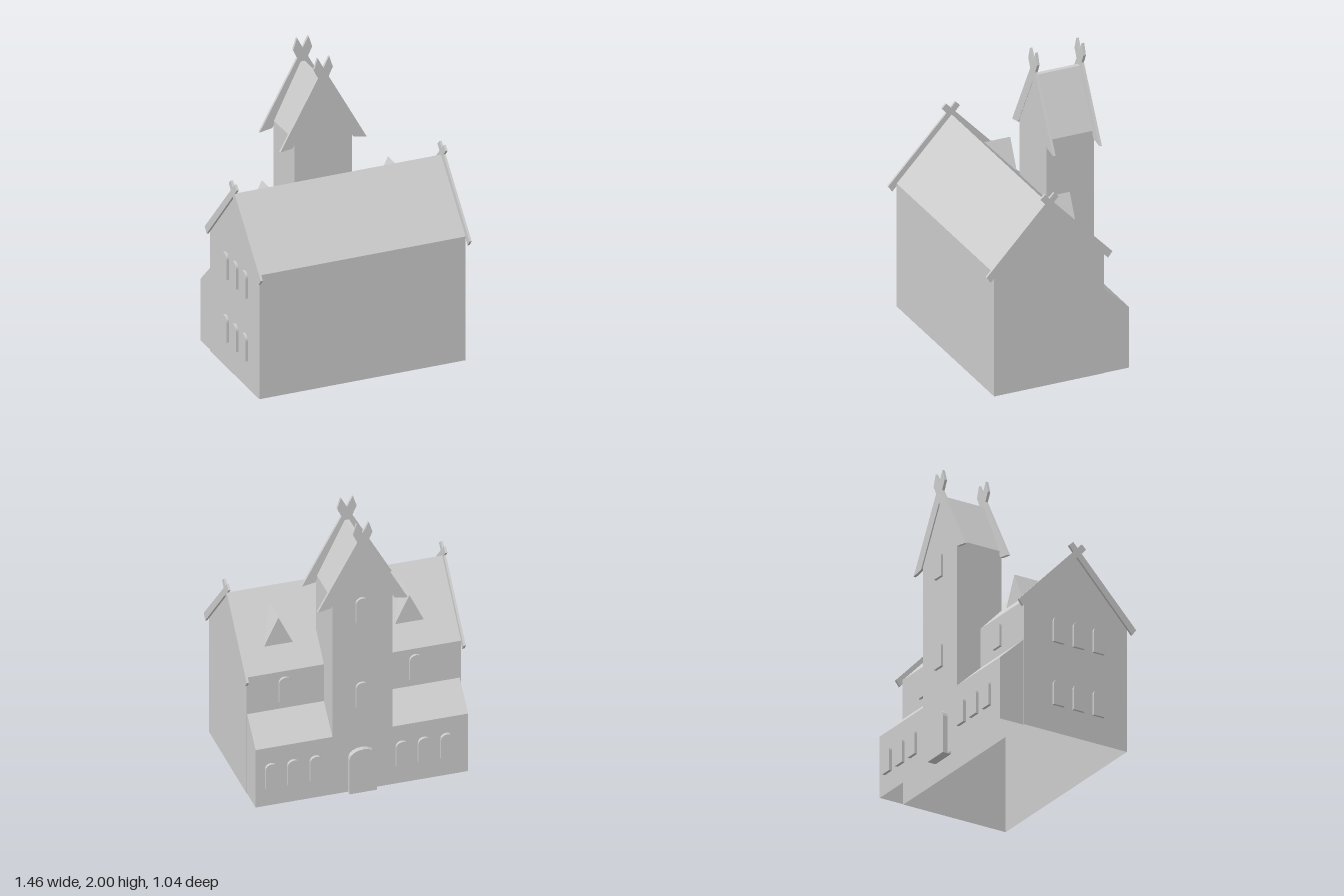
import * as THREE from 'three';

const material = new THREE.MeshStandardMaterial({ color: 0xcccccc, flatShading: true, side: THREE.DoubleSide });

function add(parent, name, geometry) {
  const mesh = new THREE.Mesh(geometry, material);
  mesh.name = name;
  parent.add(mesh);
  return mesh;
}

// Hollow prism with an open base: the convex profile runs clockwise from its
// lower left corner to its lower right corner, swept from z0 to z1.
function shell(profile, z0, z1) {
  const pos = [];
  const tri = (...corners) => corners.forEach(([p, z]) => pos.push(p[0], p[1], z));
  for (let i = 0; i < profile.length - 1; i++) {
    const a = profile[i], b = profile[i + 1];
    tri([a, z0], [a, z1], [b, z1]);
    tri([a, z0], [b, z1], [b, z0]);
    if (i > 0) {
      tri([profile[0], z1], [b, z1], [a, z1]);
      tri([profile[0], z0], [a, z0], [b, z0]);
    }
  }
  const geometry = new THREE.BufferGeometry();
  geometry.setAttribute('position', new THREE.Float32BufferAttribute(pos, 3));
  geometry.computeVertexNormals();
  return geometry;
}

// Turns a profile drawn in (z, y) so that its sweep runs along -x
const sideways = (geometry) => geometry.rotateY(-Math.PI / 2);

// Crossed gable boards from the right half of their outline
function boards(half, depth) {
  const left = half.slice(1, -1).reverse().map(([x, y]) => [-x, y]);
  const shape = new THREE.Shape([...half, ...left].map(([x, y]) => new THREE.Vector2(x, y)));
  return new THREE.ExtrudeGeometry(shape, { depth, bevelEnabled: false });
}

// Round-headed panel standing on y = 0, centred on z = 0
function arch(width, height, rise, depth) {
  const w = width / 2, spring = height - rise;
  const shape = new THREE.Shape();
  shape.moveTo(-w, 0);
  shape.lineTo(w, 0);
  shape.lineTo(w, spring);
  for (let i = 1; i <= 8; i++) {
    const t = (i / 8) * Math.PI;
    shape.lineTo(w * Math.cos(t), spring + rise * Math.sin(t));
  }
  return new THREE.ExtrudeGeometry(shape, { depth, bevelEnabled: false, curveSegments: 1 }).translate(0, 0, -depth / 2);
}

export function createModel() {
  const model = new THREE.Group();
  model.name = 'gabledHouse';

  // Main hall with its steep roof
  add(model, 'mainHall', sideways(shell(
    [[-0.315, 0], [-0.315, 0.87], [0.0725, 1.277], [0.46, 0.87], [0.46, 0]], -0.715, 0.715)));

  // Lean-to along the back
  add(model, 'backLeanTo', sideways(shell(
    [[-0.49, 0], [-0.49, 0.43], [-0.31, 0.6], [-0.31, 0]], -0.712, 0.706)));

  // Tower rising from the lean-to
  add(model, 'tower', shell(
    [[-0.2, 0.43], [-0.2, 1.45], [-0.015, 1.83], [0.015, 1.83], [0.2, 1.45], [0.2, 0.43]], -0.49, -0.156));

  // Crossed boards on the hall gables
  const hallBoards = [[0, 1.26], [0.412, 0.82], [0.442, 0.86], [0.031, 1.293],
    [0.064, 1.33], [0.032, 1.36], [0, 1.325]];
  for (const x of [0.716, -0.731]) {
    const mesh = add(model, 'hallGableBoards', sideways(boards(hallBoards, 0.015)));
    mesh.position.set(x + 0.015, 0, 0.0775);
  }

  // Crossed boards on the tower gables
  const towerBoards = [[0, 1.785], [0.212, 1.4], [0.3, 1.385], [0.036, 1.86],
    [0.065, 1.922], [0.04, 2.0], [0, 1.925]];
  for (const z of [-0.172, -0.498]) {
    add(model, 'towerGableBoards', boards(towerBoards, 0.018)).position.z = z;
  }

  // Pointed dormers on the back roof slope
  for (const x of [-0.41, 0.464]) {
    const top = [0, 1.198, -0.193], tip = [0, 1.198, -0.01];
    const l = [-0.096, 0.998, -0.193], r = [0.096, 0.998, -0.193];
    const geometry = new THREE.BufferGeometry();
    geometry.setAttribute('position', new THREE.Float32BufferAttribute(
      [top, r, l, top, l, tip, top, tip, r, l, r, tip].flat(), 3));
    geometry.computeVertexNormals();
    add(model, 'dormer', geometry).position.x = x;
  }

  // Windows
  const window = arch(0.082, 0.18, 0.037, 0.04);
  const place = (name, x, y, z, turn = 0) => {
    const mesh = add(model, name, window);
    mesh.position.set(x, y, z);
    mesh.rotation.y = turn;
  };
  for (const x of [-0.56, -0.41, -0.262, 0.312, 0.462, 0.61]) place('leanToWindow', x, 0.135, -0.49);
  for (const x of [-0.41, 0.462]) place('upperBackWindow', x, 0.65, -0.312);
  for (const y of [0.628, 1.26]) place('towerWindow', 0.005, y, -0.488);
  for (const y of [0.19, 0.63]) {
    for (const z of [-0.06, 0.09, 0.24]) place('gableWindow', -0.712, y, z, Math.PI / 2);
  }

  // Door at the foot of the tower
  add(model, 'door', arch(0.182, 0.32, 0.062, 0.06)).position.set(0.005, 0, -0.494);

  return model;
}
